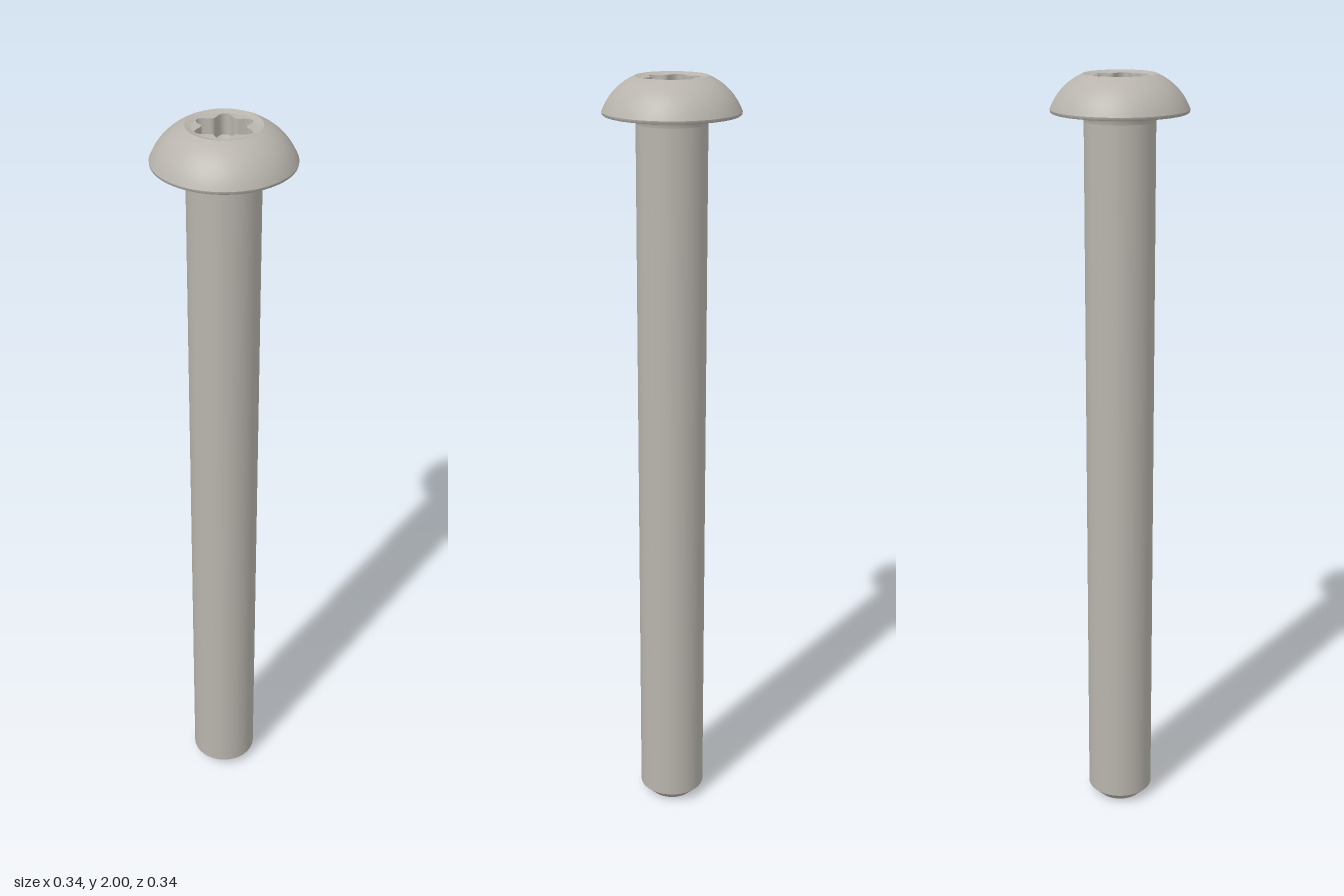
import * as THREE from 'three';

const SEGMENTS = 72;

// Six-lobed socket outline, one lobe pointing along z
const lobeRadius = (a) => 0.0615 + 0.0112 * Math.cos(6 * a);

export function createModel() {
  const group = new THREE.Group();
  group.name = 'buttonHeadScrew';
  const steel = new THREE.MeshStandardMaterial({ color: 0xb8b4ad });
  steel.name = 'steel';

  const add = (name, geometry) => {
    const mesh = new THREE.Mesh(geometry, steel);
    mesh.name = name;
    group.add(mesh);
  };
  const lathe = (points) =>
    new THREE.LatheGeometry(points.map(([r, y]) => new THREE.Vector2(r, y)), SEGMENTS);

  // Lathe whose profile radius 0..1 is a fraction of the way from the axis
  // to the lobes, and 1..2 from the lobes out to the countersink circle
  const socket = (points) => {
    const geometry = lathe(points);
    const p = geometry.attributes.position;
    for (let i = 0; i < p.count; i++) {
      const t = Math.hypot(p.getX(i), p.getZ(i));
      const a = Math.atan2(p.getX(i), p.getZ(i));
      const lobe = lobeRadius(a);
      const r = t <= 1.0001 ? t * lobe : lobe + (t - 1) * (0.074 - lobe);
      p.setX(i, r * Math.sin(a));
      p.setZ(i, r * Math.cos(a));
    }
    geometry.computeVertexNormals();
    return geometry;
  };

  // Shank with chamfered tip, each face separate to keep its edges crisp
  add('tipFace', lathe([[0, 0], [0.06, 0]]));
  add('tipChamfer', lathe([[0.06, 0], [0.088, 0.028]]));
  add('shank', lathe([[0.088, 0.028], [0.088, 1.888]]));
  add('neckFillet', lathe([[0.088, 1.888], [0.0895, 1.898], [0.094, 1.905], [0.102, 1.909]]));

  // Domed head
  add('headUnderside', lathe([[0.102, 1.909], [0.166, 1.909]]));
  add('headRim', lathe([[0.166, 1.909], [0.169, 1.911], [0.17, 1.917]]));
  const dome = new THREE.QuadraticBezierCurve(
    new THREE.Vector2(0.17, 1.917), new THREE.Vector2(0.147, 1.975), new THREE.Vector2(0.089, 2));
  add('headDome', new THREE.LatheGeometry(dome.getPoints(12), SEGMENTS));

  // Countersunk six-lobed drive socket
  add('socketCountersink', lathe([[0.089, 2], [0.074, 1.995]]));
  add('socketLip', socket([[2, 1.995], [1, 1.995]]));
  add('socketWall', socket([[1, 1.995], [1, 1.945]]));
  add('socketFloor', socket([[1, 1.945], [0.5, 1.934], [0, 1.923]]));

  return group;
}
